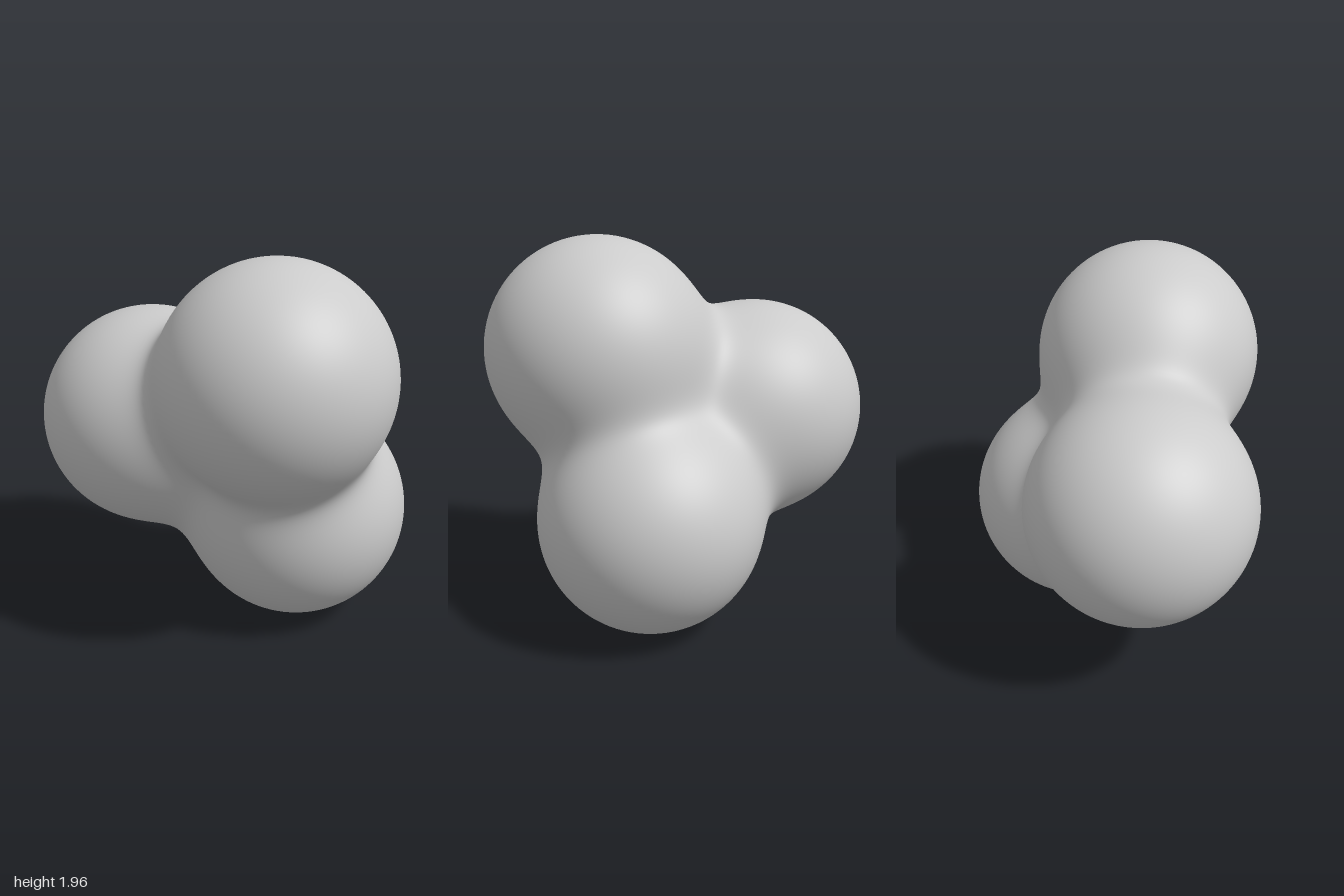
import * as THREE from 'three';

const RADIUS = 0.57;
const BLEND = 0.09; // softness of the necks between the balls
const BALLS = [
  new THREE.Vector3(-0.165, 1.39, 0.43),  // upper front
  new THREE.Vector3(0.185, 0.57, 0.26),   // lower front
  new THREE.Vector3(-0.185, 1.0, -0.43),  // back
];

// Smoothly blended distance to the three balls
function field(p) {
  let sum = 0;
  for (const c of BALLS) sum += Math.exp((RADIUS - p.distanceTo(c)) / BLEND);
  return -BLEND * Math.log(sum);
}

// Outward normal: ball directions weighted by closeness
function fieldNormal(p) {
  const n = new THREE.Vector3();
  for (const c of BALLS) {
    const d = p.distanceTo(c);
    n.addScaledVector(p.clone().sub(c), Math.exp((RADIUS - d) / BLEND) / d);
  }
  return n.normalize();
}

export function createModel() {
  const group = new THREE.Group();
  group.name = 'blendedBalls';

  // Push each vertex of a fine sphere from the shared middle out to the blended skin
  const middle = new THREE.Vector3();
  BALLS.forEach((c) => middle.addScaledVector(c, 1 / BALLS.length));
  const geometry = new THREE.IcosahedronGeometry(1, 36);
  const pos = geometry.attributes.position;
  const nor = geometry.attributes.normal;
  const dir = new THREE.Vector3();
  const p = new THREE.Vector3();
  for (let i = 0; i < pos.count; i++) {
    dir.fromBufferAttribute(pos, i).normalize();
    let near = 0, far = 1.6;
    for (let step = 0; step < 24; step++) {
      const t = (near + far) / 2;
      p.copy(middle).addScaledVector(dir, t);
      if (field(p) < 0) near = t; else far = t;
    }
    const n = fieldNormal(p);
    pos.setXYZ(i, p.x, p.y, p.z);
    nor.setXYZ(i, n.x, n.y, n.z);
  }

  const body = new THREE.Mesh(geometry, new THREE.MeshStandardMaterial({ color: 0xcccccc }));
  body.name = 'threeLobedBody';
  group.add(body);
  return group;
}
